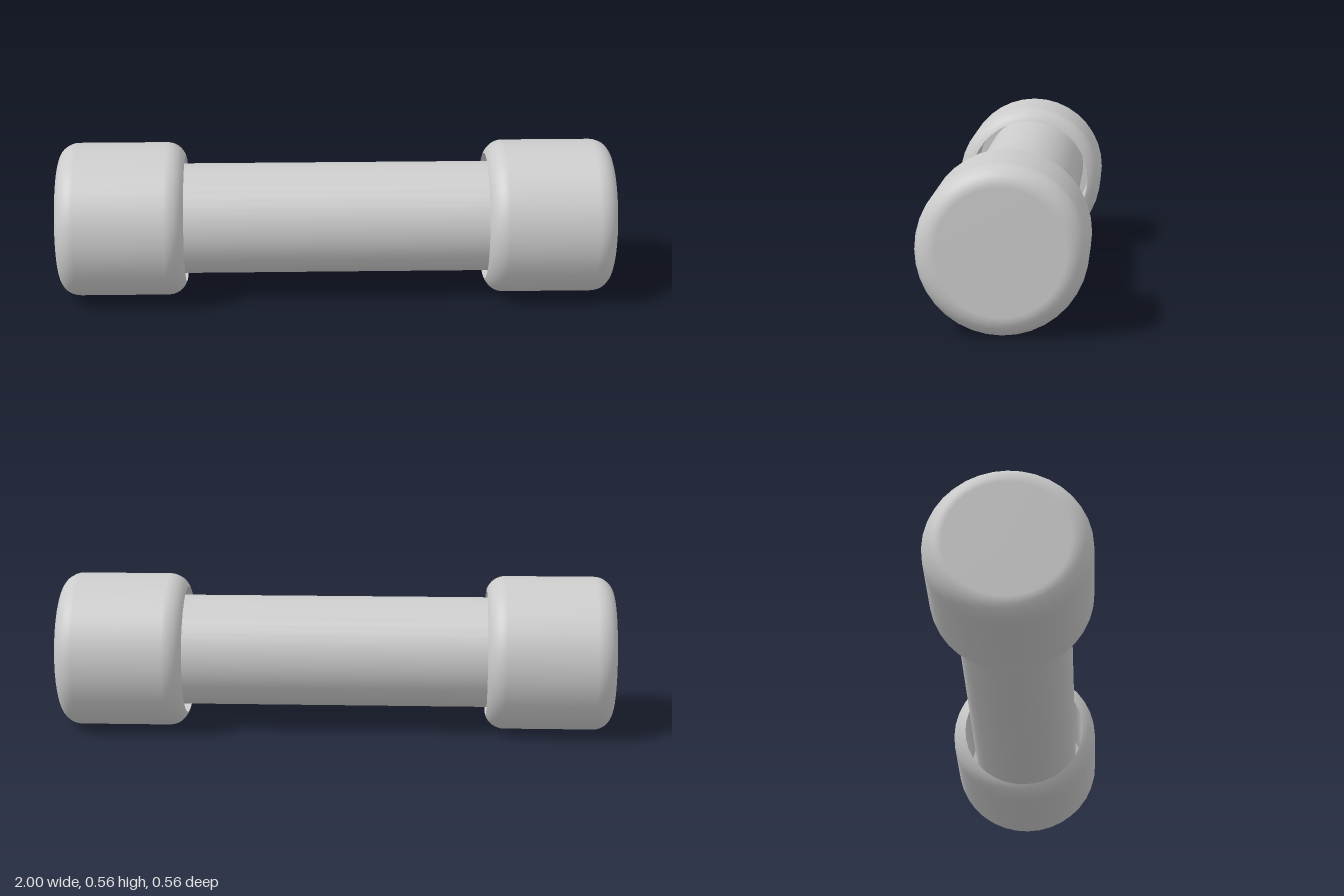
import * as THREE from 'three';

const SIDES = 36;
const RADIUS = 0.278;  // end cap outer radius, also the axis height
const TUBE = 0.2;      // central tube radius
const BORE = 0.23;     // opening in the cap around the tube
const FILLET = 0.07;
const INNER = 0.54, OUTER = 1, SEAT = 0.95;

// Points along a rounded edge, angle measured from the radial direction
function fillet(r, h, from, to, steps = 8) {
  return Array.from({ length: steps + 1 }, (_, i) => {
    const a = from + (to - from) * i / steps;
    return new THREE.Vector2(r + FILLET * Math.cos(a), h + FILLET * Math.sin(a));
  });
}

// Hollow cap profile: seat, bore, rounded lip, wall, rounded end, flat end face
function capGeometry() {
  const v = (r, h) => new THREE.Vector2(r, h);
  const core = RADIUS - FILLET;
  const lip = fillet(core, INNER + FILLET, -Math.acos((BORE - core) / FILLET), 0);
  return new THREE.LatheGeometry([
    v(TUBE, SEAT), v(BORE, SEAT), v(BORE, SEAT), // doubled points keep creases sharp
    lip[0].clone(), ...lip,
    ...fillet(core, OUTER - FILLET, 0, Math.PI / 2),
    v(0, OUTER),
  ], SIDES);
}

export function createModel() {
  const group = new THREE.Group();
  const material = new THREE.MeshStandardMaterial({ color: 0xcccccc });

  // Central tube, running into both caps
  const tube = new THREE.Mesh(
    new THREE.CylinderGeometry(TUBE, TUBE, 2 * SEAT, SIDES), material);
  tube.name = 'tube';
  tube.rotation.z = Math.PI / 2;
  tube.position.y = RADIUS;
  group.add(tube);

  // Matching end caps
  const geometry = capGeometry();
  for (const [name, side] of [['leftCap', 1], ['rightCap', -1]]) {
    const cap = new THREE.Mesh(geometry, material);
    cap.name = name;
    cap.rotation.z = -side * Math.PI / 2;
    cap.position.y = RADIUS;
    group.add(cap);
  }
  return group;
}
